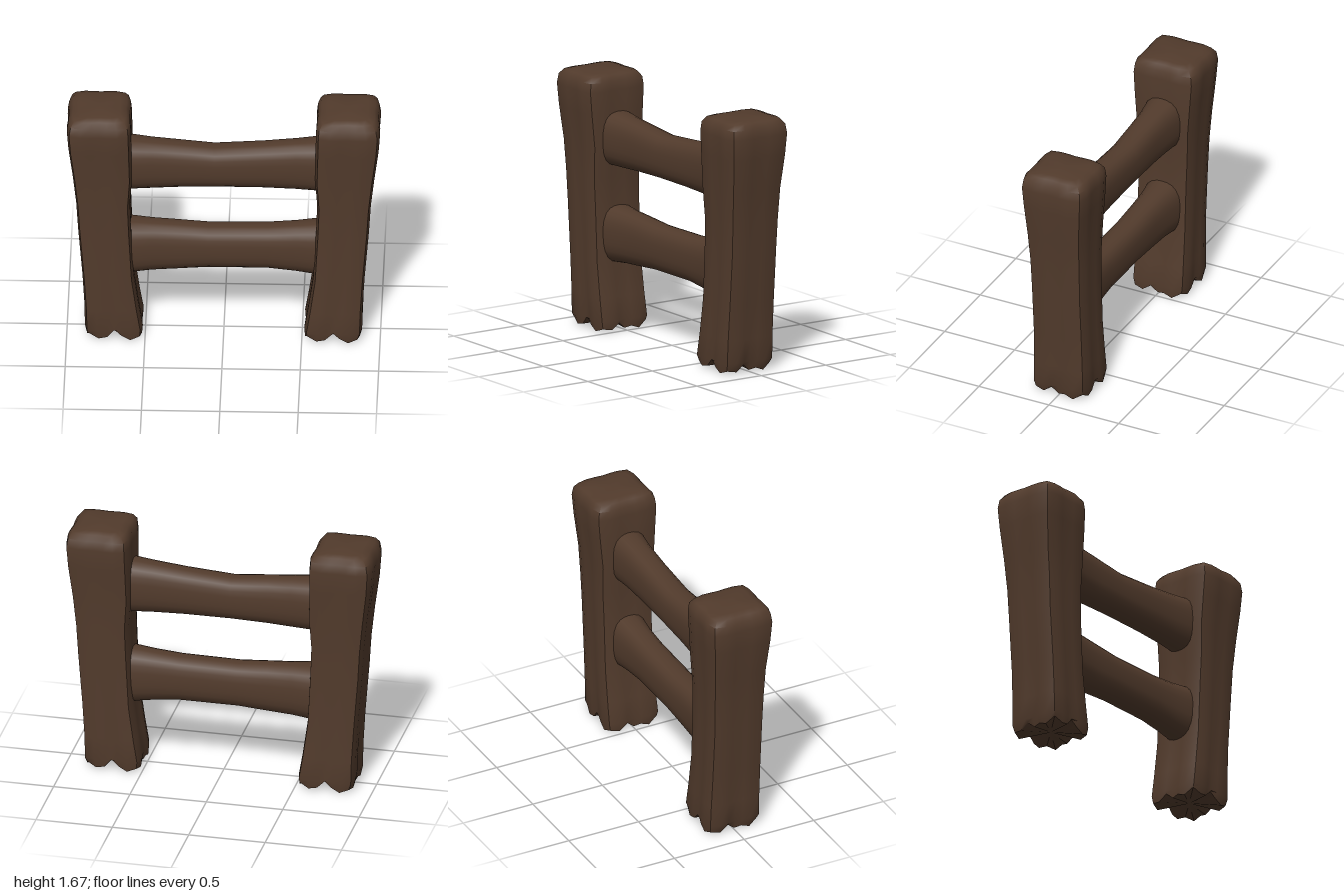
import * as THREE from 'three';
import { toCreasedNormals } from 'three/addons/utils/BufferGeometryUtils.js';

const SIDES = 24;

// Skins rounded-square rings stacked along y, closing both ends.
// Each ring is [y, x0, x1, z0, z1, groove]; jag(k) lifts the first ring's points.
function loft(rings, power, jag = () => 0) {
  const pos = [], index = [];
  rings.forEach(([y, x0, x1, z0, z1, groove = 0], i) => {
    for (let k = 0; k < SIDES; k++) {
      const t = (k / SIDES) * Math.PI * 2, c = Math.cos(t), s = Math.sin(t);
      let r = Math.pow(Math.abs(c) ** power + Math.abs(s) ** power, -1 / power);
      r *= 1 - groove * Math.max(0, Math.cos(4 * t)) ** 2;
      pos.push(
        (x0 + x1) / 2 + (x1 - x0) / 2 * r * c,
        y + (i === 0 ? jag(k) : 0),
        (z0 + z1) / 2 + (z1 - z0) / 2 * r * s);
    }
  });
  const last = rings.length - 1;
  for (let i = 0; i < last; i++) {
    for (let k = 0; k < SIDES; k++) {
      const a = i * SIDES + k, b = i * SIDES + (k + 1) % SIDES;
      index.push(a, a + SIDES, b, b, a + SIDES, b + SIDES);
    }
  }
  // End caps
  const base = pos.length / 3;
  for (const i of [0, last]) {
    const [y, x0, x1, z0, z1] = rings[i];
    pos.push((x0 + x1) / 2, y + (i === 0 ? 0.03 : 0.004), (z0 + z1) / 2);
  }
  for (let k = 0; k < SIDES; k++) {
    const n = (k + 1) % SIDES;
    index.push(base, k, n, base + 1, last * SIDES + n, last * SIDES + k);
  }
  const geo = new THREE.BufferGeometry();
  geo.setAttribute('position', new THREE.Float32BufferAttribute(pos, 3));
  geo.setIndex(index);
  return toCreasedNormals(geo, 0.9);
}

export function createModel() {
  const wood = new THREE.MeshStandardMaterial({ color: 0x523b2c });
  wood.name = 'darkWood';
  const group = new THREE.Group();
  group.name = 'fenceSection';

  const add = (name, geo) => {
    const mesh = new THREE.Mesh(geo, wood);
    mesh.name = name;
    group.add(mesh);
    return mesh;
  };

  // Post: splintered foot, slim waist, swollen rounded top
  const splinters = [0.01, 0.03, 0, 0.02, 0.01, 0.05, 0.07, 0.02, 0, 0.04, 0.01, 0.02];
  const postRings = [
    [0.0, 0.52, 0.87, -0.18, 0.18, 0.06],
    [0.07, 0.515, 0.885, -0.19, 0.19, 0.06],
    [0.22, 0.54, 0.887, -0.19, 0.185, 0.05],
    [0.45, 0.572, 0.9, -0.19, 0.18, 0.03],
    [0.8, 0.59, 0.928, -0.19, 0.18, 0.02],
    [1.0, 0.597, 0.94, -0.195, 0.185, 0.02],
    [1.2, 0.583, 0.962, -0.2, 0.195, 0.02],
    [1.42, 0.587, 0.99, -0.22, 0.21, 0.03],
    [1.56, 0.59, 1.0, -0.23, 0.22, 0.03],
    [1.62, 0.596, 0.99, -0.222, 0.212, 0.03],
    [1.655, 0.62, 0.965, -0.195, 0.185, 0.03],
    [1.666, 0.66, 0.92, -0.15, 0.14, 0.02],
  ];
  const postGeo = loft(postRings, 8, (k) => splinters[(k * 5) % 12]);
  add('leftPost', postGeo);
  add('rightPost', postGeo).rotation.y = Math.PI;

  // Rails: thicker where they meet the posts; rows are [x, top, bottom, half depth]
  const rails = {
    upperRail: [
      [-0.72, 1.43, 1.06, 0.14], [-0.59, 1.42, 1.07, 0.13], [-0.46, 1.407, 1.072, 0.11],
      [-0.3, 1.393, 1.08, 0.103], [-0.06, 1.37, 1.087, 0.1], [0.25, 1.392, 1.085, 0.1],
      [0.46, 1.413, 1.078, 0.105], [0.59, 1.427, 1.072, 0.12], [0.72, 1.435, 1.06, 0.13],
    ],
    lowerRail: [
      [-0.72, 0.815, 0.43, 0.14], [-0.59, 0.805, 0.437, 0.13], [-0.46, 0.795, 0.45, 0.11],
      [-0.3, 0.785, 0.46, 0.103], [-0.1, 0.77, 0.475, 0.1], [0.28, 0.775, 0.475, 0.1],
      [0.46, 0.79, 0.455, 0.105], [0.59, 0.805, 0.437, 0.12], [0.72, 0.815, 0.43, 0.13],
    ],
  };
  for (const [name, rows] of Object.entries(rails)) {
    const geo = loft(rows.map(([x, top, bottom, d]) => [x, -top, -bottom, -d, d]), 2.8);
    add(name, geo.rotateZ(-Math.PI / 2));
  }
  return group;
}
